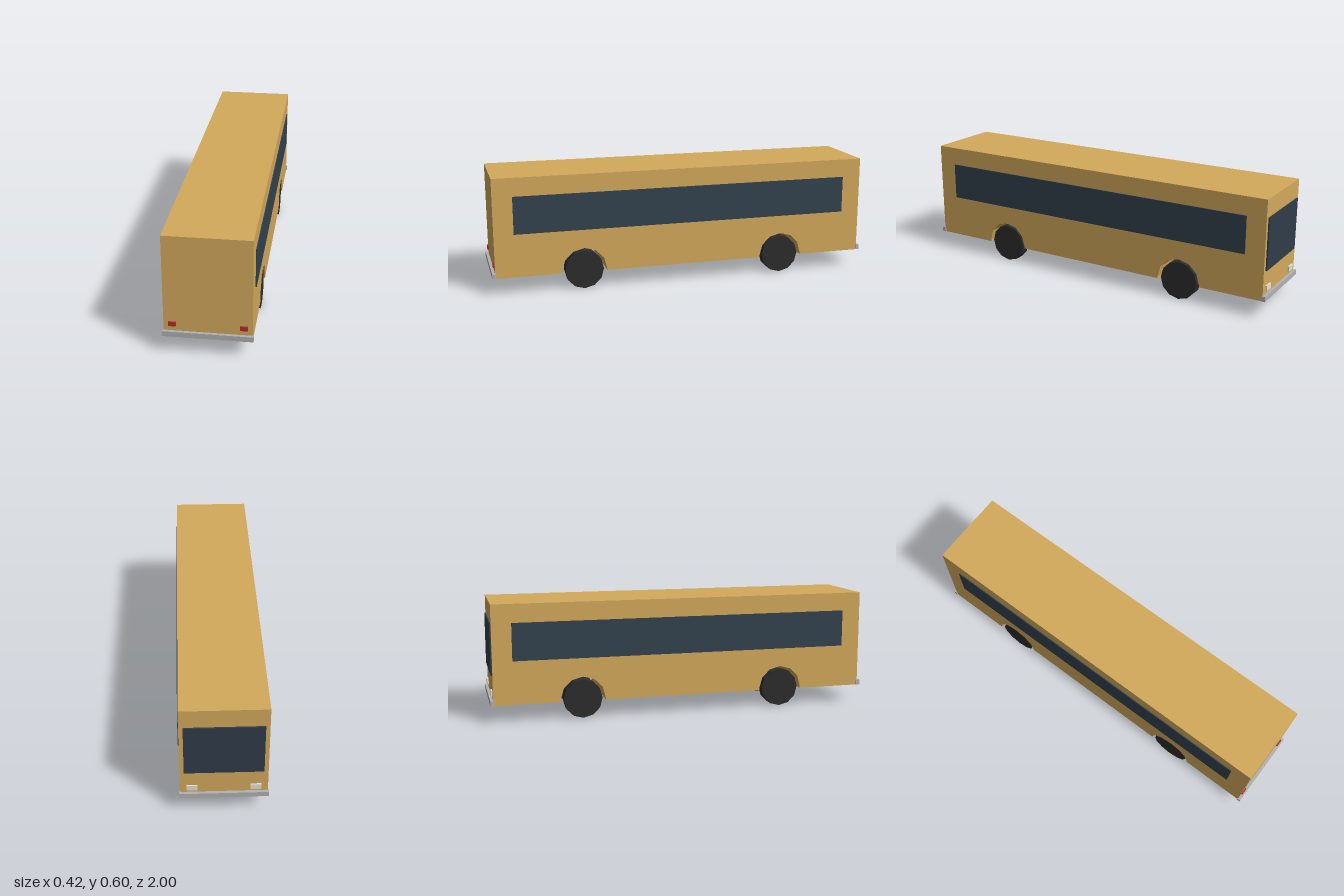
import * as THREE from 'three';

const mat = (color) => new THREE.MeshStandardMaterial({ color, flatShading: true });

export function createModel() {
  const bus = new THREE.Group();
  bus.name = 'bus';

  const paint = mat(0xd4aa5c);
  const glass = mat(0x33424e);
  const windscreenGlass = mat(0x313d4a);
  const rubber = mat(0x2d2d2d);
  const bumperMetal = mat(0xb2b2b2);
  const red = mat(0xb52b30);
  const lampWhite = mat(0xe6e2d2);

  const halfW = 0.205, halfL = 0.985, bottom = 0.09, top = 0.6;
  const axleZ = 0.533, wheelR = 0.1, archR = 0.116;

  const add = (name, geometry, material, x, y, z) => {
    const mesh = new THREE.Mesh(geometry, material);
    mesh.name = name;
    mesh.position.set(x, y, z);
    bus.add(mesh);
    return mesh;
  };
  const box = (name, material, w, h, d, x, y, z) =>
    add(name, new THREE.BoxGeometry(w, h, d), material, x, y, z);

  // Body: side profile with two wheel arches, extruded across the full width
  const profile = new THREE.Shape();
  profile.moveTo(-halfL, top);
  profile.lineTo(-halfL, bottom);
  for (const centre of [-axleZ, axleZ]) {
    profile.lineTo(centre - archR, bottom);
    for (let i = 0; i <= 6; i++) {
      const a = Math.PI * (1 - i / 6);
      profile.lineTo(centre + archR * Math.cos(a), wheelR + archR * Math.sin(a));
    }
    profile.lineTo(centre + archR, bottom);
  }
  profile.lineTo(halfL, bottom);
  profile.lineTo(halfL, top);
  profile.closePath();
  const bodyGeometry = new THREE.ExtrudeGeometry(profile, { depth: halfW * 2, bevelEnabled: false });
  bodyGeometry.translate(0, 0, -halfW);
  bodyGeometry.rotateY(-Math.PI / 2);
  add('body', bodyGeometry, paint, 0, 0, 0);

  // Wheels, one pair per axle
  const wheelGeometry = new THREE.CylinderGeometry(wheelR, wheelR, 0.053, 12);
  wheelGeometry.rotateZ(Math.PI / 2);

  for (const side of [-1, 1]) {
    const label = side > 0 ? 'left' : 'right';
    box(label + 'SideWindow', glass, 0.01, 0.192, 1.77, side * 0.205, 0.409, 0);
    box(label + 'RedLight', red, 0.035, 0.022, 0.012, side * 0.165, 0.153, 0.986);
    box(label + 'WhiteLight', lampWhite, 0.05, 0.028, 0.014, side * 0.148, 0.146, -0.986);
    for (const end of [-1, 1]) {
      add(label + (end > 0 ? 'FrontWheel' : 'BackWheel'), wheelGeometry, rubber,
        side * 0.1735, wheelR, end * axleZ);
    }
  }

  // Windscreen on the -z end
  box('windscreen', windscreenGlass, 0.37, 0.267, 0.01, 0, 0.373, -0.987);

  // Bumpers at both ends
  for (const end of [-1, 1]) {
    box(end > 0 ? 'frontBumper' : 'backBumper', bumperMetal, 0.42, 0.026, 0.02, 0, 0.104, end * 0.99);
  }

  return bus;
}
